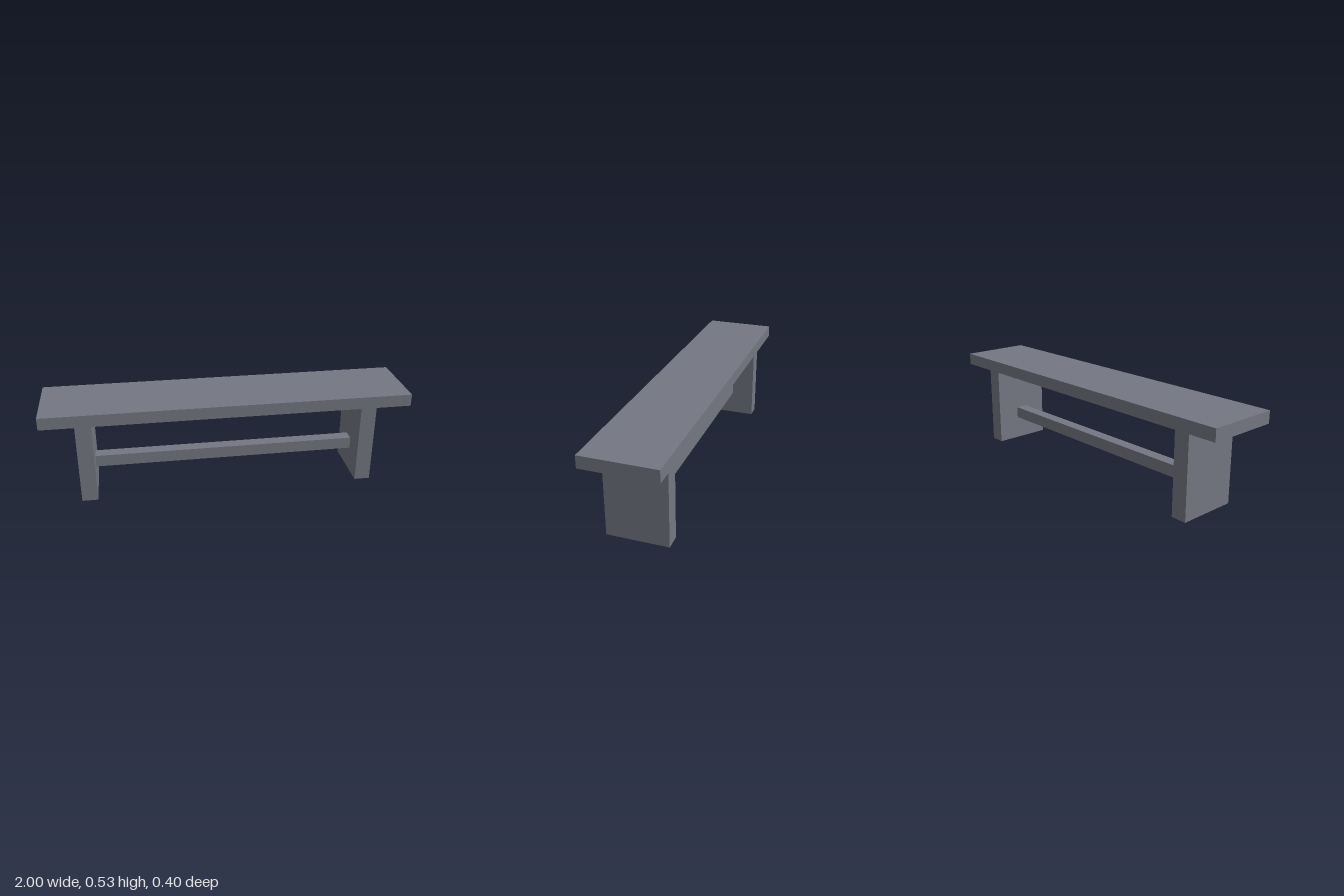
import * as THREE from 'three';

export function createModel() {
  const bench = new THREE.Group();
  bench.name = 'bench';
  const slate = new THREE.MeshStandardMaterial({ color: 0x747782 });
  slate.name = 'slate grey';

  function addBoard(name, width, height, depth, x, bottom) {
    const board = new THREE.Mesh(new THREE.BoxGeometry(width, height, depth), slate);
    board.name = name;
    board.position.set(x, bottom + height / 2, 0);
    bench.add(board);
  }

  // Seat plank
  addBoard('seat', 2, 0.0667, 0.4, 0, 0.4667);

  // Slab legs, set in from both ends
  for (const side of [-1, 1]) {
    addBoard(side > 0 ? 'leftLeg' : 'rightLeg', 0.0867, 0.4667, 0.3333, side * 0.7767, 0);
  }

  // Stretcher rail between the legs
  addBoard('stretcher', 1.4667, 0.0667, 0.0667, 0, 0.1345);

  return bench;
}
